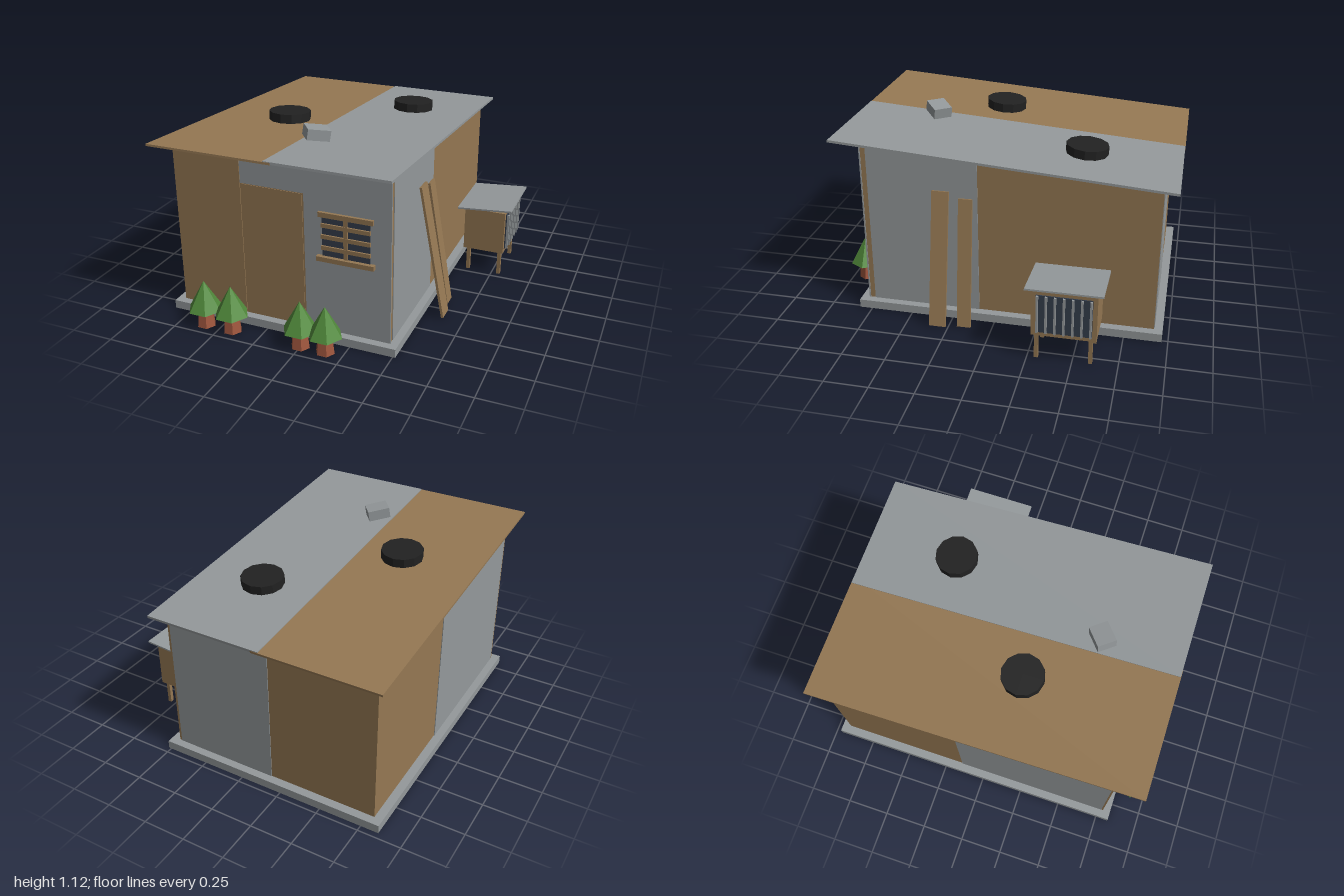
import * as THREE from 'three';

const mat = (name, color, extra = {}) => {
  const m = new THREE.MeshStandardMaterial({ color, ...extra });
  m.name = name;
  return m;
};

// Underside of the sloping roof at depth z
const SLOPE = 0.0737;
const roofY = (z) => 0.98 + SLOPE * z;

export function createModel() {
  const model = new THREE.Group();
  model.name = 'shack';

  const timber = mat('timber', 0x957853);
  const sheet = mat('greySheet', 0x94999b);
  const glass = mat('darkGlass', 0x353e4c);
  const rubber = mat('rubber', 0x222222);
  const leaf = mat('foliage', 0x528b3c, { flatShading: true });
  const bark = mat('bark', 0xa2583f, { flatShading: true });
  rubber.flatShading = true;

  const add = (parent, name, geometry, material) => {
    const mesh = new THREE.Mesh(geometry, material);
    mesh.name = name;
    parent.add(mesh);
    return mesh;
  };

  // Box given by its limits on each axis
  const block = (parent, name, material, x0, x1, y0, y1, z0, z1) => {
    const g = new THREE.BoxGeometry(x1 - x0, y1 - y0, z1 - z0);
    g.translate((x0 + x1) / 2, (y0 + y1) / 2, (z0 + z1) / 2);
    return add(parent, name, g, material);
  };

  // Box whose top follows the roof
  const wall = (name, material, x0, x1, y0, z0, z1) => {
    const mesh = block(model, name, material, x0, x1, y0, 1, z0, z1);
    const p = mesh.geometry.attributes.position;
    for (let i = 0; i < p.count; i++) {
      if (p.getY(i) > 0.95) p.setY(i, roofY(p.getZ(i)));
    }
    mesh.geometry.computeVertexNormals();
    return mesh;
  };

  // Foundation and walls
  block(model, 'foundation', sheet, -0.855, 0.515, 0, 0.05, -0.965, 0.825);
  wall('timberWalls', timber, -0.806, 0.466, 0.05, -0.916, 0.775);
  wall('frontSheetAboveDoor', sheet, -0.4, -0.025, 0.85, 0.772, 0.78);
  wall('frontSheet', sheet, -0.025, 0.47, 0.05, 0.772, 0.78);
  wall('frontTimber', timber, -0.81, -0.402, 0.05, 0.772, 0.78);
  wall('rightSheet', sheet, 0.462, 0.47, 0.05, 0.1, 0.742);
  wall('leftSheet', sheet, -0.81, -0.802, 0.05, -0.15, 0.77);
  wall('backSheet', sheet, -0.17, 0.45, 0.05, -0.92, -0.912);
  block(model, 'door', timber, -0.395, -0.035, 0.05, 0.845, 0.77, 0.779);

  // Roof: two sloping panels with a small overlap
  const roof = new THREE.Group();
  roof.name = 'roof';
  roof.position.set(0, roofY(-0.03), -0.03);
  roof.rotation.x = -Math.atan(SLOPE);
  model.add(roof);
  block(roof, 'timberRoof', timber, -0.865, -0.127, 0, 0.012, -0.972, 0.972);
  block(roof, 'sheetRoof', sheet, -0.17, 0.525, 0.002, 0.016, -0.97, 0.97);

  // Old tyres lying on the roof
  for (const [x, z] of [[-0.42, 0.13], [0.147, -0.46]]) {
    const tyre = add(roof, 'tyre', new THREE.CylinderGeometry(0.122, 0.122, 0.053, 12), rubber);
    tyre.position.set(x, 0.041, z + 0.03);
  }

  // Loose brick on the roof
  const brick = add(model, 'brick', new THREE.BoxGeometry(0.13, 0.062, 0.11), sheet);
  brick.position.set(-0.085, 1.076, 0.472);
  brick.rotation.set(0, 0.67, -0.17);

  // Window with bars
  const win = new THREE.Group();
  win.name = 'window';
  model.add(win);
  block(win, 'windowPane', glass, 0.081, 0.354, 0.5, 0.75, 0.778, 0.785);
  block(win, 'windowLintel', timber, 0.0625, 0.373, 0.738, 0.766, 0.778, 0.797);
  block(win, 'windowSill', timber, 0.053, 0.382, 0.484, 0.511, 0.778, 0.807);
  block(win, 'windowPost', timber, 0.206, 0.229, 0.511, 0.738, 0.778, 0.793);
  for (const y of [0.56, 0.625, 0.69]) {
    block(win, 'windowBar', timber, 0.078, 0.357, y - 0.0115, y + 0.0115, 0.778, 0.795);
  }

  // Planks leaning on the right wall: [z, width, foot x, top y, twist]
  for (const [z, width, footX, topY, twist] of [
    [0.31, 0.098, 0.63, 0.795, 0], [0.163, 0.08, 0.607, 0.76, 0.01],
  ]) {
    const dx = footX - 0.478;
    const plank = add(model, 'leaningPlank',
      new THREE.BoxGeometry(0.014, Math.hypot(dx, topY - 0.008), width), timber);
    plank.position.set((footX + 0.478) / 2, topY / 2 + 0.004, z);
    plank.rotation.set(twist, 0, Math.atan2(dx, topY));
  }

  // Raised hutch beside the right wall
  const hutch = new THREE.Group();
  hutch.name = 'hutch';
  model.add(hutch);
  block(hutch, 'hutchBody', timber, 0.567, 0.817, 0.153, 0.424, -0.63, -0.273);
  for (const x of [0.596, 0.792]) {
    for (const z of [-0.3, -0.598]) {
      block(hutch, 'hutchLeg', timber, x - 0.011, x + 0.011, 0, 0.16, z - 0.011, z + 0.011);
    }
  }
  block(hutch, 'hutchOpening', glass, 0.815, 0.824, 0.178, 0.406, -0.605, -0.3);
  for (let i = 0; i < 7; i++) {
    const z = -0.308 - i * 0.0482;
    block(hutch, 'hutchBar', sheet, 0.822, 0.838, 0.18, 0.404, z - 0.006, z + 0.006);
  }
  const hutchRoof = add(hutch, 'hutchRoof', new THREE.BoxGeometry(0.335, 0.01, 0.42), sheet);
  hutchRoof.position.set(0.693, 0.442, -0.453);
  hutchRoof.rotation.z = 0.08;

  // Small trees in front
  for (const x of [-0.593, -0.424, -0.001, 0.147]) {
    const tree = new THREE.Group();
    tree.name = 'tree';
    tree.position.set(x, 0, 0.912);
    model.add(tree);
    const start = Math.PI / 6;
    add(tree, 'trunk',
      new THREE.CylinderGeometry(0.04, 0.055, 0.12, 6, 1, false, start), bark).position.y = 0.06;
    add(tree, 'crown',
      new THREE.ConeGeometry(0.099, 0.175, 6, 1, false, start), leaf).position.y = 0.1915;
  }

  return model;
}
